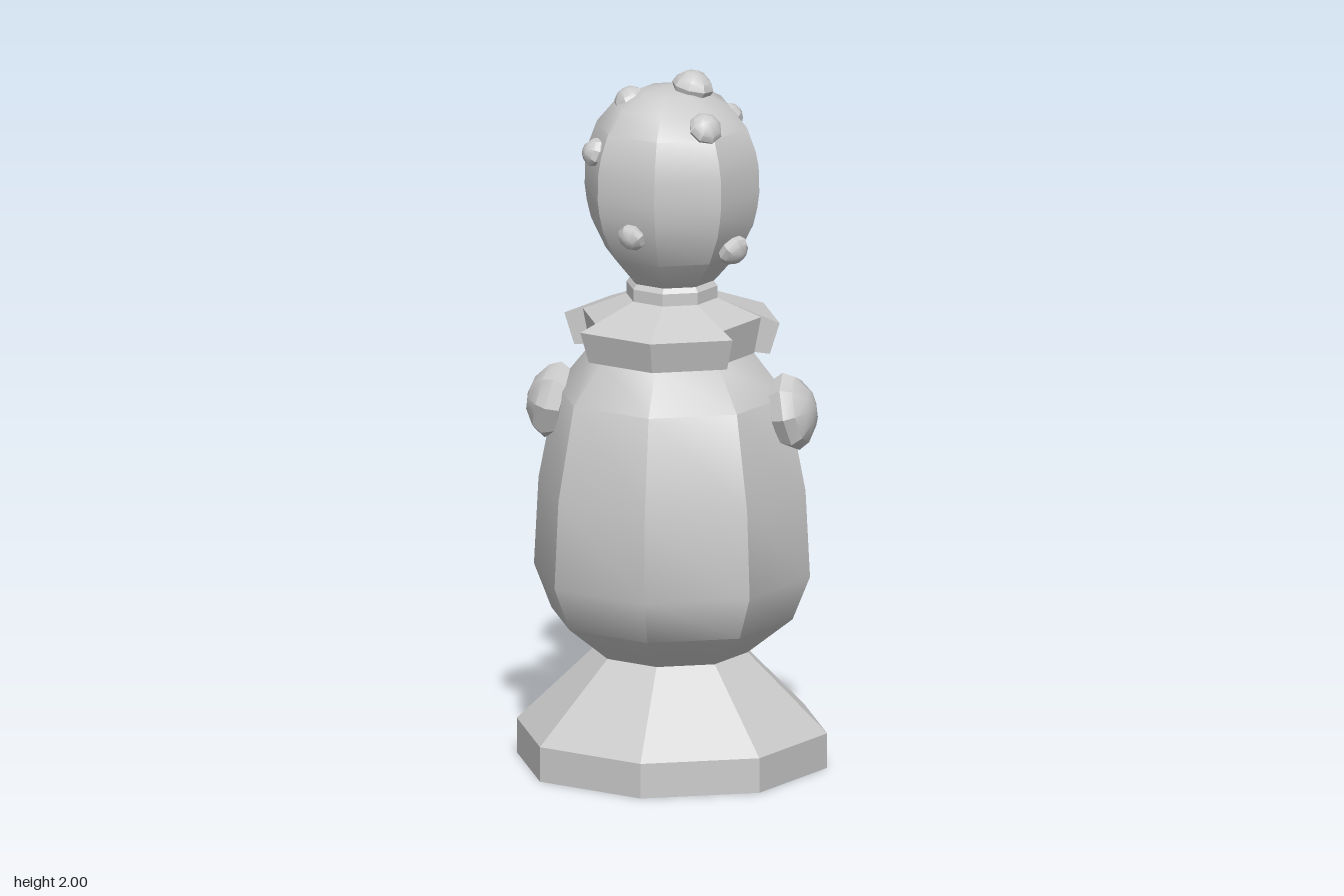
import * as THREE from 'three';
import { mergeGeometries, toCreasedNormals } from 'three/addons/utils/BufferGeometryUtils.js';

const SIDES = 8;
const smooth = new THREE.MeshStandardMaterial({ color: 0xcccccc });
const flat = new THREE.MeshStandardMaterial({ color: 0xcccccc, flatShading: true });
const flatOpen = new THREE.MeshStandardMaterial({ color: 0xcccccc, flatShading: true, side: THREE.DoubleSide });
const CREASE = THREE.MathUtils.degToRad(40);

const points = (list) => list.map(([r, y]) => new THREE.Vector2(r, y));
const lathe = (list, start = 0, length = Math.PI * 2, sides = SIDES) =>
  new THREE.LatheGeometry(points(list), sides, start, length);

function addMesh(parent, name, geometry, material) {
  const mesh = new THREE.Mesh(geometry, material);
  mesh.name = name;
  parent.add(mesh);
  return mesh;
}

// Faceted dome whose axis points along the given direction
function addDome(parent, name, position, direction, radius, height) {
  const profile = [[0, -0.3], [0.85, -0.05], [1, 0.3], [0.85, 0.6], [0.45, 0.9], [0, 1]]
    .map(([r, h]) => [r * radius, h * height]);
  const dome = addMesh(parent, name, toCreasedNormals(lathe(profile), CREASE), smooth);
  dome.position.copy(position);
  dome.quaternion.setFromUnitVectors(new THREE.Vector3(0, 1, 0), direction.clone().normalize());
}

// Head with two slots: the rear corner is pushed in to a straight chord
function headGeometry() {
  const profile = [
    [0.11, 1.385], [0.13, 1.405], [0.19, 1.475], [0.232, 1.56], [0.244, 1.61], [0.244, 1.61],
    [0.25, 1.655], [0.25, 1.655], [0.248, 1.73], [0.248, 1.73], [0.239, 1.775], [0.239, 1.775],
    [0.215, 1.84], [0.165, 1.9], [0.09, 1.94], [0, 1.955]];
  const slotRings = [5, 6, 9, 10];
  const geometry = lathe(profile);
  const p = geometry.attributes.position;
  for (const ring of slotRings) p.setZ((SIDES / 2) * profile.length + ring, -0.168);
  return toCreasedNormals(geometry, CREASE);
}

// Collar of alternating wide and narrow panels, each closed at its ends
function collarGeometry() {
  const wide = [[0.14, 1.2], [0.28, 1.19], [0.308, 1.28], [0.13, 1.345]];
  const narrow = [[0.14, 1.2], [0.235, 1.19], [0.255, 1.295], [0.13, 1.345]];
  const runs = [ // first corner, number of sides, section
    [-1, 2, wide], [1, 1, narrow], [2, 1, wide], [3, 2, narrow], [5, 1, wide], [6, 1, narrow]];
  const pieces = [];
  for (const [first, count, section] of runs) {
    const start = first * Math.PI / 4;
    const length = count * Math.PI / 4;
    pieces.push(lathe(section, start, length, count));
    for (const angle of [start, start + length]) {
      pieces.push(new THREE.ShapeGeometry(new THREE.Shape(points(section))).rotateY(angle - Math.PI / 2));
    }
  }
  return mergeGeometries(pieces);
}

export function createModel() {
  const model = new THREE.Group();
  model.name = 'figurine';

  // Flared foot
  addMesh(model, 'base',
    lathe([[0, 0], [0.444, 0], [0.444, 0.1], [0.21, 0.33], [0, 0.33]]), flat);

  // Pear-shaped body
  addMesh(model, 'body', toCreasedNormals(lathe([
    [0, 0.322], [0.215, 0.322], [0.345, 0.425], [0.395, 0.55], [0.382, 0.8],
    [0.33, 1.07], [0.235, 1.19], [0.13, 1.3], [0, 1.3]]), CREASE), smooth);

  addMesh(model, 'collar', collarGeometry(), flatOpen);

  addMesh(model, 'neck', lathe([[0, 1.3], [0.13, 1.3], [0.13, 1.38], [0.115, 1.4], [0, 1.4]]), flat);
  addMesh(model, 'head', headGeometry(), smooth);

  // Rounded stub arms
  for (const side of [1, -1]) {
    addDome(model, side > 0 ? 'leftArm' : 'rightArm', new THREE.Vector3(side * 0.31, 1.02, 0),
      new THREE.Vector3(side, 0.22, 0), 0.113, 0.105);
  }

  // Bumps scattered over the head: x, y, z, radius
  const bumps = [
    [0.06, 1.955, 0, 0.06], [-0.12, 1.91, 0.01, 0.048], [0.125, 1.87, 0.14, 0.05],
    [-0.2, 1.78, 0.12, 0.042], [0.14, 1.84, -0.15, 0.038], [-0.073, 1.56, 0.21, 0.042],
    [0.195, 1.507, 0.09, 0.048], [-0.13, 1.435, -0.13, 0.042]];
  const centre = new THREE.Vector3(0, 1.68, 0);
  for (const [x, y, z, radius] of bumps) {
    const position = new THREE.Vector3(x, y, z);
    const direction = position.clone().sub(centre).normalize();
    addDome(model, 'headBump', position.addScaledVector(direction, -radius * 0.35), direction, radius, radius * 1.1);
  }
  return model;
}
